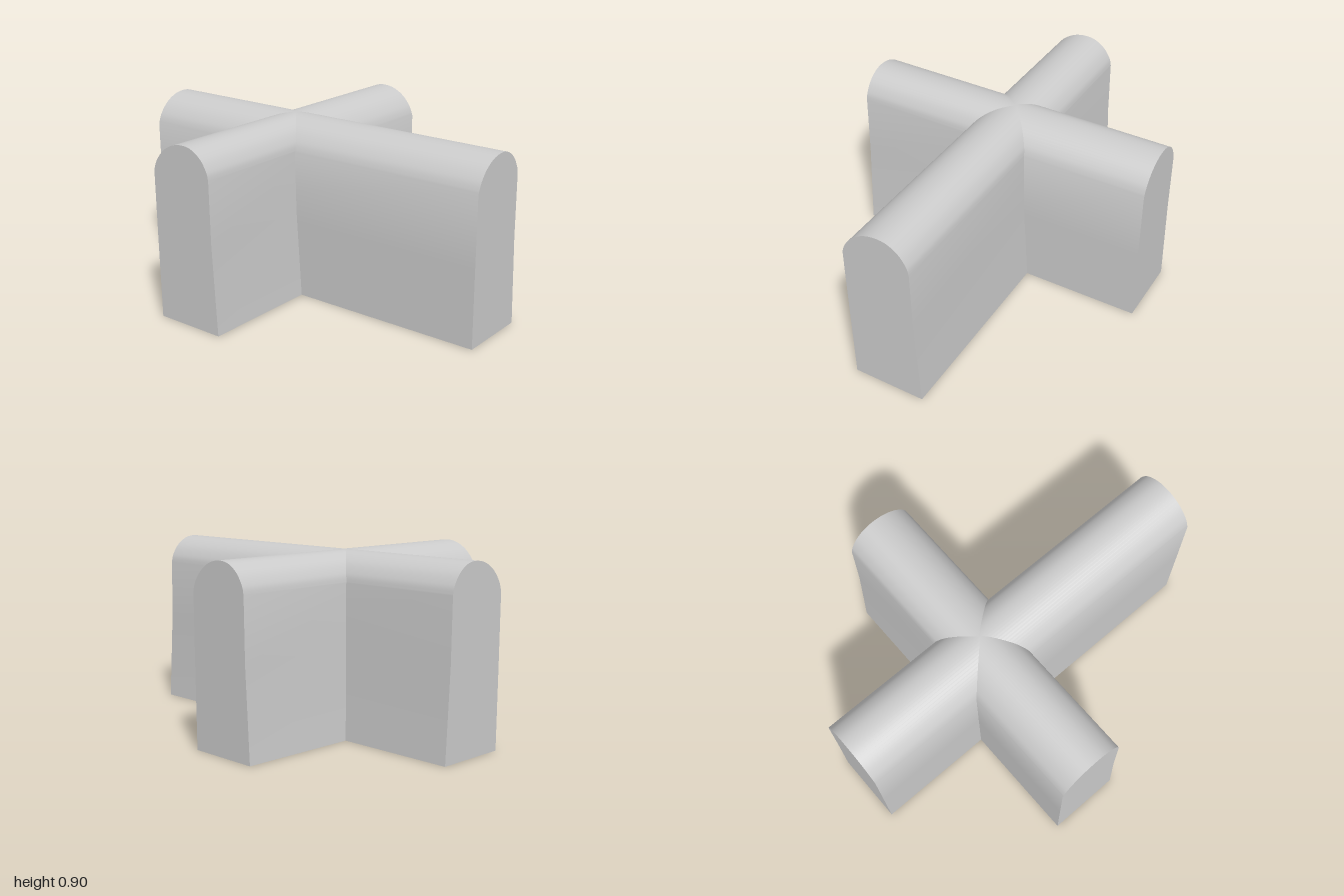
import * as THREE from 'three';
import { toCreasedNormals } from 'three/addons/utils/BufferGeometryUtils.js';

const material = new THREE.MeshStandardMaterial({ color: 0xcccccc });

// Round-topped wall section: one side upright, the other leaning slightly outward to its foot
function wallSection() {
  const shape = new THREE.Shape();
  shape.moveTo(-0.182, 0);
  shape.lineTo(0.19, 0);
  shape.lineTo(0.165, 0.45);
  shape.lineTo(0.16, 0.76);
  shape.splineThru([
    [0.15, 0.8], [0.115, 0.853], [0.06, 0.89], [0, 0.9],
    [-0.065, 0.888], [-0.125, 0.853], [-0.17, 0.8], [-0.19, 0.75],
  ].map(([x, y]) => new THREE.Vector2(x, y)));
  shape.lineTo(-0.187, 0.4);
  shape.closePath();
  return shape;
}

// A straight run of wall, starting at the given point and heading along local +z
function wall(name, length, x, z, turn) {
  const extruded = new THREE.ExtrudeGeometry(wallSection(), {
    depth: length, bevelEnabled: false, curveSegments: 4,
  });
  const mesh = new THREE.Mesh(toCreasedNormals(extruded, 0.55), material);
  mesh.name = name;
  mesh.position.set(x, 0, z);
  mesh.rotation.y = turn;
  return mesh;
}

export function createModel() {
  const group = new THREE.Group();
  group.name = 'crossWall';
  const crossingX = -0.2;

  // Long wall from right to left, crossed off-centre by two arms
  group.add(
    wall('longWall', 2, -1, 0, Math.PI / 2),
    wall('frontArm', 0.8, crossingX, 0, 0),
    wall('backArm', 0.8, crossingX, 0, Math.PI),
  );
  return group;
}
